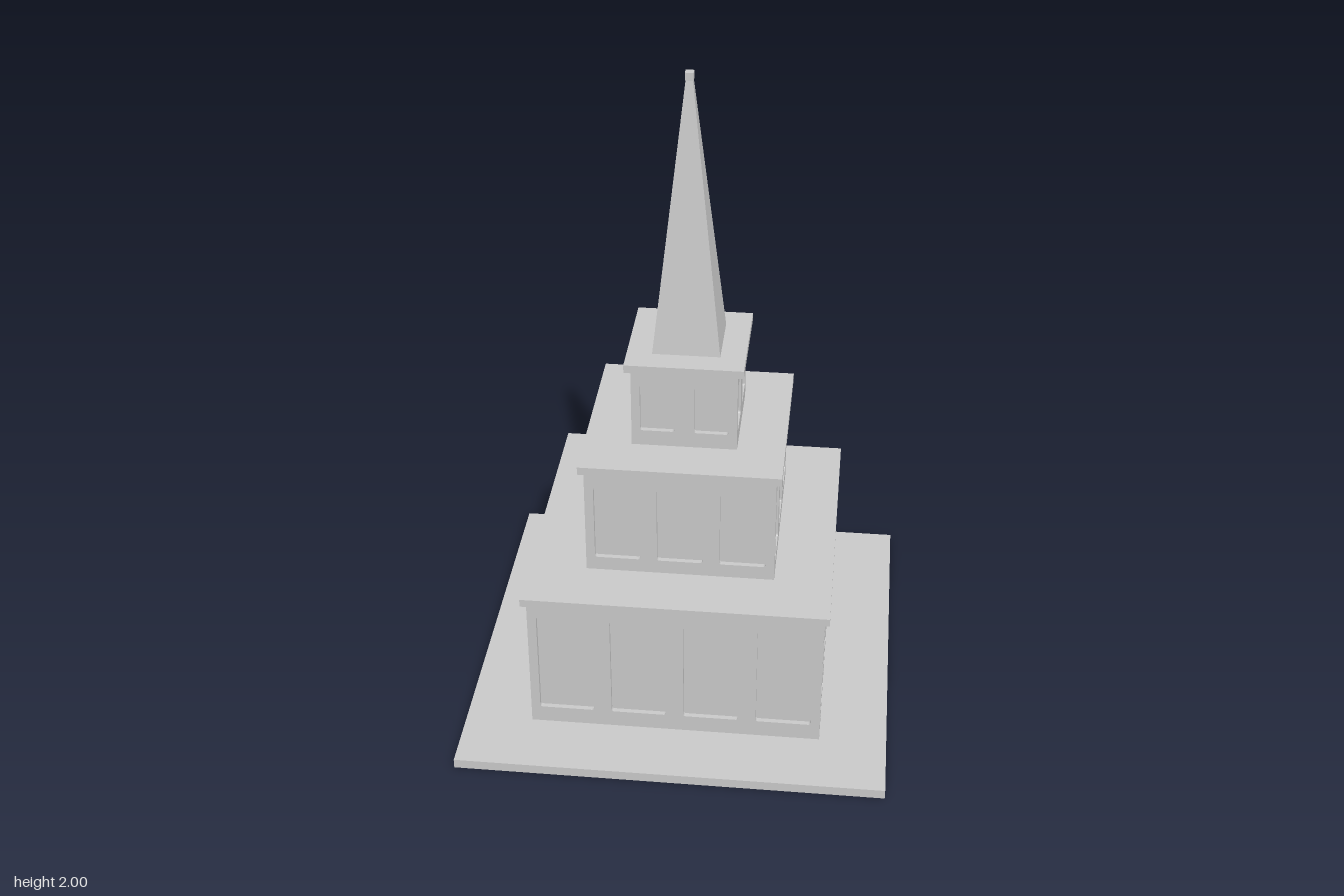
import * as THREE from 'three';

const stone = new THREE.MeshStandardMaterial({ color: 0xc8c8c8 });
stone.name = 'stone grey';

const RECESS = 0.015;

function add(parent, name, geometry, y = 0) {
  const mesh = new THREE.Mesh(geometry, stone);
  mesh.name = name;
  mesh.position.y = y;
  parent.add(mesh);
  return mesh;
}

// Square slab standing on y0
function slab(parent, name, half, y0, y1) {
  return add(parent, name, new THREE.BoxGeometry(half * 2, y1 - y0, half * 2), (y0 + y1) / 2);
}

// Window opening with slightly rounded corners
function opening(x0, x1, y0, y1, r = 0.008) {
  const p = new THREE.Path();
  p.moveTo(x0 + r, y0);
  p.lineTo(x1 - r, y0);
  p.quadraticCurveTo(x1, y0, x1, y0 + r);
  p.lineTo(x1, y1 - r);
  p.quadraticCurveTo(x1, y1, x1 - r, y1);
  p.lineTo(x0 + r, y1);
  p.quadraticCurveTo(x0, y1, x0, y1 - r);
  p.lineTo(x0, y0 + r);
  p.quadraticCurveTo(x0, y0, x0 + r, y0);
  return p;
}

// Storey: inner core, four pierced walls fitted around it, and a cornice
function tier(parent, name, t) {
  const group = new THREE.Group();
  group.name = name;
  parent.add(group);
  slab(group, 'recessedPanels', t.half - RECESS, t.y0, t.y1);

  // Each wall stops short at one end so the four meet without overlap
  const wall = new THREE.Shape();
  wall.moveTo(-t.half, t.y0);
  wall.lineTo(t.half - RECESS, t.y0);
  wall.lineTo(t.half - RECESS, t.y1);
  wall.lineTo(-t.half, t.y1);
  wall.closePath();
  for (let i = 0; i < t.count; i++) {
    const x = (i - (t.count - 1) / 2) * t.pitch;
    wall.holes.push(opening(x - t.width / 2, x + t.width / 2, t.sill, t.head));
  }
  const geometry = new THREE.ExtrudeGeometry(wall, { depth: RECESS, bevelEnabled: false, curveSegments: 3 });
  geometry.translate(0, 0, t.half - RECESS);
  for (let side = 0; side < 4; side++) {
    add(group, 'wall', geometry).rotation.y = side * Math.PI / 2;
  }
  slab(group, 'cornice', t.cornice, t.y1, t.top);
}

export function createModel() {
  const tower = new THREE.Group();
  tower.name = 'steppedTower';

  slab(tower, 'basePlate', 0.647, 0, 0.03);

  tier(tower, 'lowerTier', {
    half: 0.443, y0: 0.03, y1: 0.48, top: 0.505, cornice: 0.459,
    count: 4, pitch: 0.221, width: 0.168, sill: 0.085, head: 0.43,
  });
  tier(tower, 'middleTier', {
    half: 0.284, y0: 0.505, y1: 0.855, top: 0.88, cornice: 0.3,
    count: 3, pitch: 0.188, width: 0.138, sill: 0.55, head: 0.802,
  });
  tier(tower, 'upperTier', {
    half: 0.157, y0: 0.88, y1: 1.135, top: 1.16, cornice: 0.175,
    count: 2, pitch: 0.16, width: 0.102, sill: 0.93, head: 1.085,
  });

  // Four-sided spire, turned so its faces line up with the walls
  const spire = new THREE.CylinderGeometry(0.01 * Math.SQRT2, 0.1 * Math.SQRT2, 0.82, 4, 1).toNonIndexed();
  spire.rotateY(Math.PI / 4);
  spire.computeVertexNormals();
  add(tower, 'spire', spire, 1.57);
  slab(tower, 'finial', 0.012, 1.977, 2);

  return tower;
}
